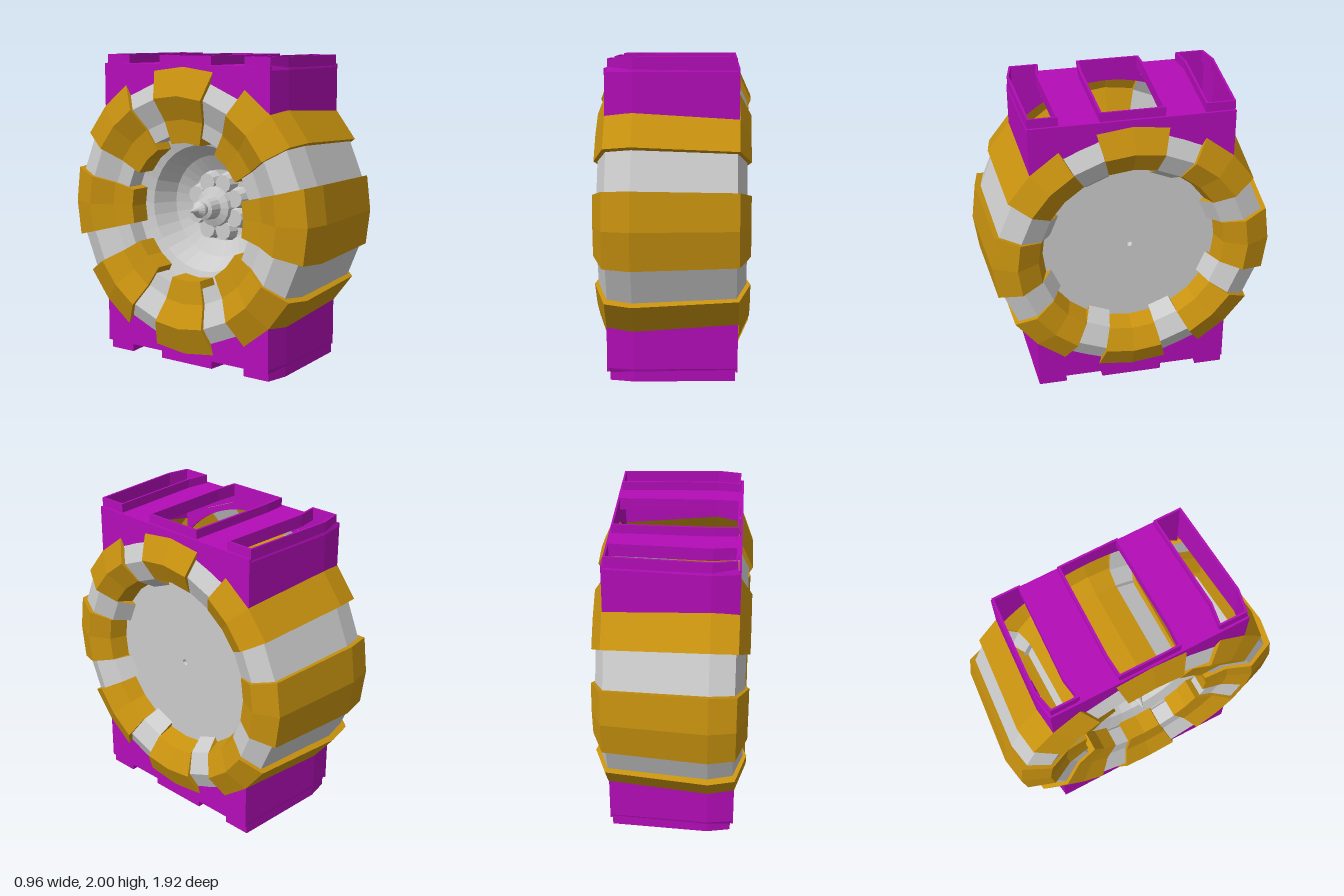
import * as THREE from 'three';

const mat = (color) => new THREE.MeshStandardMaterial({ color, flatShading: true, side: THREE.DoubleSide });
const GOLD = mat(0xc8920f), PURPLE = mat(0xb30db8), GREY = mat(0xcccccc);
const DEG = Math.PI / 180;

// Closed ring sections as [x, radius]; both lists match point for point
const goldProfile = [[-0.41, 0.93], [-0.24, 0.96], [0.41, 0.9], [0.48, 0.745], [0.41, 0.605], [0.3, 0.565],
  [-0.24, 0.56], [-0.25, 0.45], [-0.39, 0.45], [-0.41, 0.6], [-0.48, 0.75]];
const greyProfile = [[-0.395, 0.89], [-0.24, 0.92], [0.395, 0.87], [0.455, 0.735], [0.4, 0.6], [0.3, 0.53],
  [-0.24, 0.53], [-0.26, 0.5], [-0.38, 0.5], [-0.39, 0.6], [-0.455, 0.75]];

function add(parent, name, geometry, material) {
  const mesh = new THREE.Mesh(geometry, material);
  mesh.name = name;
  parent.add(mesh);
  return mesh;
}

function quadGeometry(quads) {
  const pos = [];
  for (const [a, b, c, d] of quads) pos.push(...a, ...b, ...c, ...a, ...c, ...d);
  const g = new THREE.BufferGeometry();
  g.setAttribute('position', new THREE.Float32BufferAttribute(pos, 3));
  g.computeVertexNormals();
  return g;
}

const polar = ([x, r], deg) => [x, r * Math.sin(deg * DEG), r * Math.cos(deg * DEG)];

// One ring block swept through the angles; the outer wall is left out inside the frame
function ringBlock(profile, angles, inset) {
  const quads = [], n = profile.length;
  for (let i = 0; i < n; i++) {
    const p = profile[i], q = profile[(i + 1) % n];
    for (let k = 0; k + 1 < angles.length; k++) {
      const a = angles[k], b = angles[k + 1];
      if (i < 2 && Math.abs(Math.cos((a + b) / 2 * DEG)) < 0.7) continue;
      quads.push([polar(p, a), polar(p, b), polar(q, b), polar(q, a)]);
    }
    // stepped ends down to the neighbouring blocks
    if (inset) for (const a of [angles[0], angles[angles.length - 1]]) {
      if (i < 2 && Math.abs(Math.cos(a * DEG)) < 0.7) continue;
      quads.push([polar(p, a), polar(q, a), polar(inset[(i + 1) % n], a), polar(inset[i], a)]);
    }
  }
  return quadGeometry(quads);
}

// Turned part around the x axis, from [radius, x] points
function turned(points, sides) {
  return new THREE.LatheGeometry(points.map(([r, x]) => new THREE.Vector2(r, x)), sides).rotateZ(-Math.PI / 2);
}

// Plan line across the frame at depth z, bowed where the ring is widest
const bow = (z, w) => [[-w, z * 0.955], [-0.24, z], [w, z * 0.94]];
const plan = (z0, z1, w) => [...bow(z0, w), ...bow(z1, w).reverse()];

// Plan outline raised from y0 to y1, with optional hole
function slab(outline, hole, y0, y1) {
  const vec = (pts) => pts.map(([x, z]) => new THREE.Vector2(x, -z));
  const shape = new THREE.Shape(vec(outline));
  if (hole) shape.holes.push(new THREE.Path(vec(hole)));
  return new THREE.ExtrudeGeometry(shape, { depth: y1 - y0, bevelEnabled: false }).rotateX(-Math.PI / 2).translate(0, y0, 0);
}

// Upper half of the frame, relative to the ring centre
function frameHalf() {
  const half = new THREE.Group();
  half.name = 'frameHalf';
  for (const s of [-1, 1]) {
    // bowed end wall
    const low = [[-0.41, 0.655], [-0.24, 0.68], [0.405, 0.637]], quads = [];
    for (let i = 0; i < 2; i++) {
      const [x0, z0] = low[i], [x1, z1] = low[i + 1];
      quads.push([[x0, z0 - 0.02, s * z0], [x1, z1 - 0.02, s * z1], [x1, 0.92, s * z1], [x0, 0.92, s * z0]]);
      quads.push([[x0, 0.92, s * z0], [x1, 0.92, s * z1],
        [x1 * 0.95, 0.95, s * (z1 - 0.01)], [x0 * 0.95, 0.95, s * (z0 - 0.01)]]);
    }
    add(half, 'endWall', quadGeometry(quads), PURPLE);
    // roof bar and outer window collar
    add(half, 'roofBar', slab(plan(s * 0.21, s * 0.49, 0.405), null, 0.92, 0.943), PURPLE);
    add(half, 'outerCollar', slab(plan(s * 0.478, s * 0.675, 0.39), plan(s * 0.492, s * 0.662, 0.378), 0.92, 1), PURPLE);
  }
  add(half, 'centreCollar', slab(plan(-0.215, 0.215, 0.39), plan(-0.2, 0.2, 0.378), 0.92, 1), PURPLE);

  // side plates, cut to an arc behind the ring
  for (const [x, z] of [[0.392, 0.637], [-0.41, 0.655]]) {
    const r = 0.84, a = Math.acos(z / r), shape = new THREE.Shape();
    shape.moveTo(z, 0.943);
    shape.lineTo(z, r * Math.sin(a));
    shape.absarc(0, 0, r, a, Math.PI - a, false);
    shape.lineTo(-z, 0.943);
    const g = new THREE.ExtrudeGeometry(shape, { depth: 0.014, bevelEnabled: false, curveSegments: 16 });
    add(half, 'sidePlate', g.rotateY(Math.PI / 2).translate(x, 0, 0), PURPLE);
  }
  return half;
}

export function createModel() {
  const model = new THREE.Group();
  const body = new THREE.Group();
  body.name = 'body';
  body.position.y = 1;
  model.add(body);

  // Eight raised blocks alternating with eight recessed ones
  for (let i = 0; i < 8; i++) {
    const c = i * 45;
    add(body, 'raisedBlock', ringBlock(goldProfile, [c - 14.5, c, c + 14.5], greyProfile), GOLD);
    add(body, 'recessedBlock', ringBlock(greyProfile, [c + 14.5, c + 30.5], null), GREY);
  }

  // Frame, the lower half being the upper one turned over
  const lower = frameHalf();
  lower.rotation.x = Math.PI;
  body.add(frameHalf(), lower);

  // Flat cover on the left side with a small centre pit
  add(body, 'cover', new THREE.RingGeometry(0.02, 0.565, 48).rotateY(Math.PI / 2).translate(0.3, 0, 0), GREY);
  add(body, 'centrePit', turned([[0.02, 0.3], [0.012, 0.27], [0, 0.27]], 12), GREY);

  // Bowl and stepped hub on the open side
  add(body, 'bowl', turned([[0.54, -0.24], [0.42, -0.2], [0.34, -0.06], [0.24, 0], [0, 0.02]], 32), GREY);
  add(body, 'hub', turned([[0.15, 0.01], [0.13, -0.1], [0.08, -0.12], [0.07, -0.2], [0.045, -0.21],
    [0.055, -0.25], [0.025, -0.28], [0, -0.35]], 16), GREY);

  // Lobes around the hub
  for (let i = 0; i < 8; i++) {
    const lobe = add(body, 'hubLobe', new THREE.CylinderGeometry(0.06, 0.075, 0.07, 10).rotateZ(Math.PI / 2), GREY);
    const a = (i + 0.5) * 45 * DEG;
    lobe.position.set(-0.04, 0.17 * Math.sin(a), 0.17 * Math.cos(a));
  }
  return model;
}
